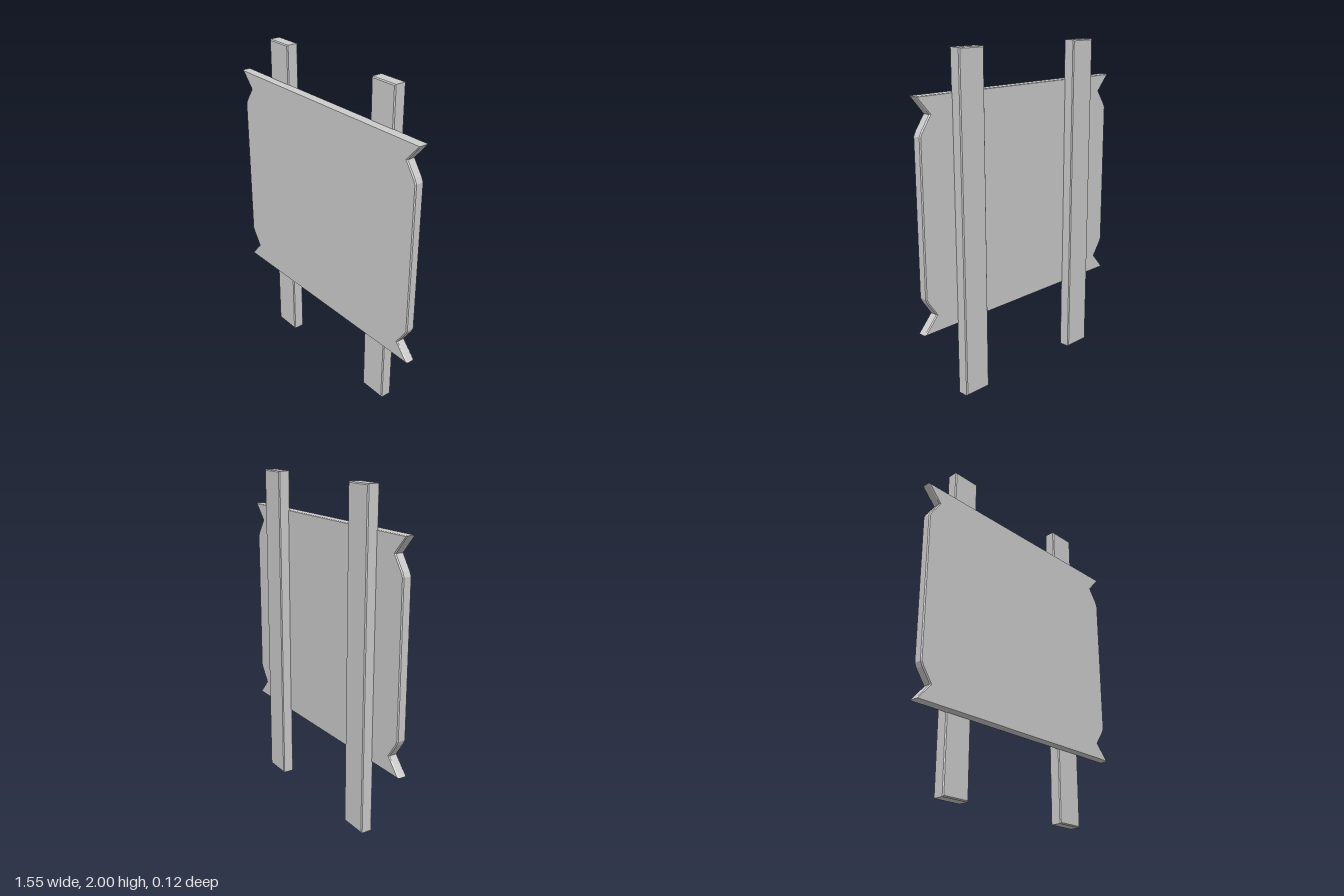
import * as THREE from 'three';

const BEVEL = 0.006;

// Extrudes an outline from z0 to z1 with a small inward bevel on every rim
function slab(points, z0, z1) {
  const shape = new THREE.Shape(points.map(([x, y]) => new THREE.Vector2(x, y)));
  const geometry = new THREE.ExtrudeGeometry(shape, {
    depth: z1 - z0 - 2 * BEVEL,
    bevelEnabled: true,
    bevelThickness: BEVEL,
    bevelSize: BEVEL,
    bevelOffset: -BEVEL,
    bevelSegments: 1,
  });
  geometry.translate(0, 0, z0 + BEVEL);
  return geometry;
}

export function createModel() {
  const group = new THREE.Group();
  group.name = 'signBoard';
  const grey = new THREE.MeshStandardMaterial({ color: 0xcccccc });
  grey.name = 'light grey';

  // Board with a V notch near each corner: right edge, then mirrored left edge
  const edge = [
    [0.777, 0.444], [0.69, 0.545], [0.747, 0.628], [0.76, 0.655],
    [0.76, 1.555], [0.747, 1.582], [0.69, 1.665], [0.777, 1.766],
  ];
  const mirrored = edge.map(([x, y]) => [-x, y]).reverse();
  const board = new THREE.Mesh(slab([...edge, ...mirrored], 0.003, 0.06), grey);
  board.name = 'board';
  group.add(board);

  // Two upright posts behind the board
  const w = 0.0875;
  const postGeometry = slab([[-w, 0], [w, 0], [w, 2], [-w, 2]], -0.06, 0.014);
  for (const [name, x] of [['leftPost', 0.449], ['rightPost', -0.449]]) {
    const post = new THREE.Mesh(postGeometry, grey);
    post.name = name;
    post.position.x = x;
    group.add(post);
  }
  return group;
}
